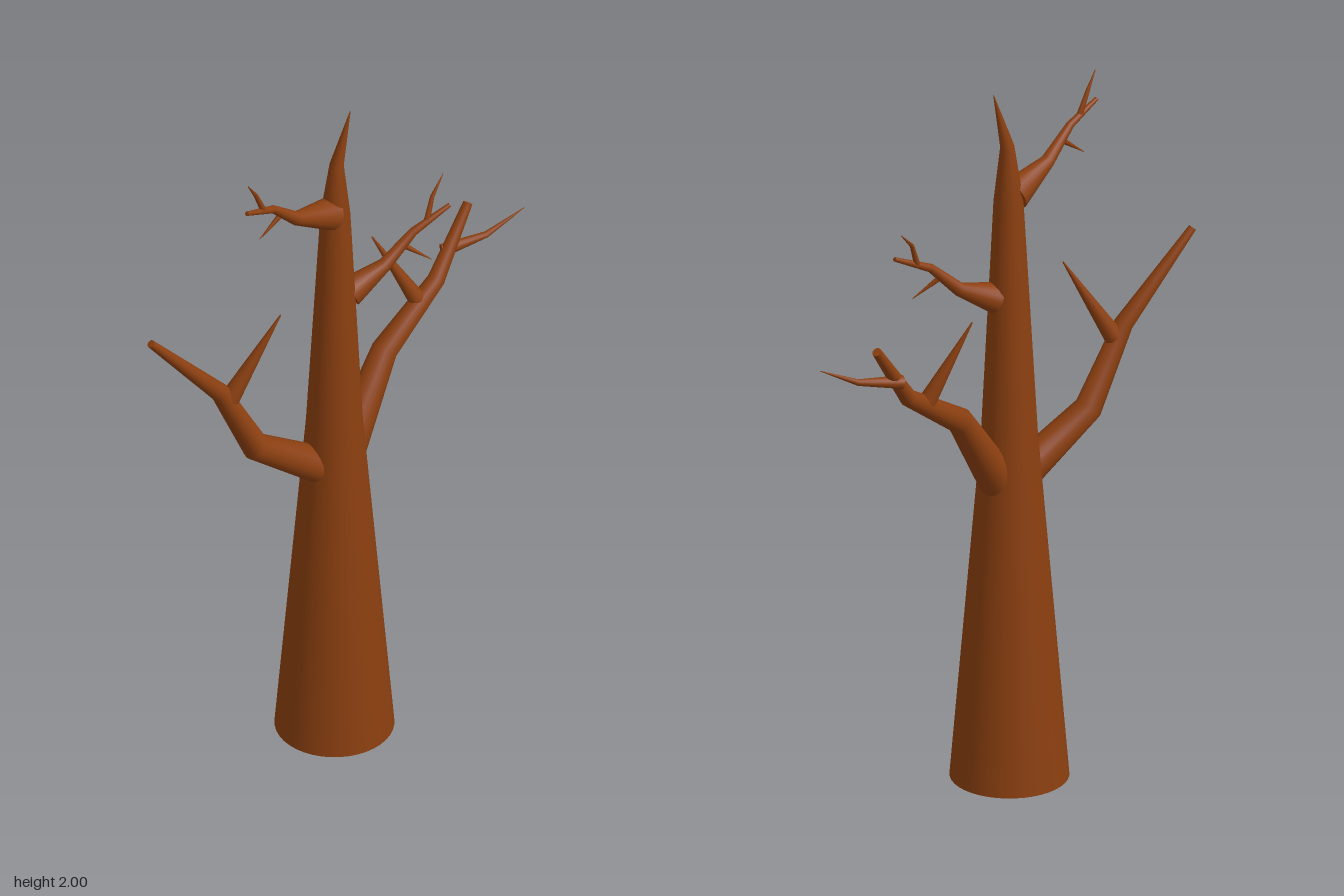
import * as THREE from 'three';

const bark = new THREE.MeshStandardMaterial({ color: 0x8b3f10 });

// Tapered limb lofted through rings of [x, y, z, radius], closed at both ends.
function limb(name, rings, sides = 16) {
  const pts = rings.map(r => new THREE.Vector3(r[0], r[1], r[2]));
  const n = pts.length, pos = [], idx = [];
  const dir = i => pts[i + 1].clone().sub(pts[i]).normalize();
  const normal = new THREE.Vector3(0, 0, 1);
  const addRing = (c, r, N, B) => {
    for (let j = 0; j < sides; j++) {
      const a = (j / sides) * Math.PI * 2;
      const p = c.clone().addScaledVector(N, Math.cos(a) * r).addScaledVector(B, Math.sin(a) * r);
      pos.push(p.x, p.y, p.z);
    }
  };
  const frames = pts.map((p, i) => {
    const t = i === 0 ? dir(0) : i === n - 1 ? dir(n - 2) : dir(i - 1).add(dir(i)).normalize();
    normal.addScaledVector(t, -normal.dot(t)).normalize();
    const N = normal.clone();
    return [N, t.clone().cross(N)];
  });
  pts.forEach((p, i) => addRing(p, rings[i][3], ...frames[i]));
  for (let i = 0; i < n - 1; i++) {
    for (let j = 0; j < sides; j++) {
      const k = (j + 1) % sides;
      const a = i * sides + j, b = i * sides + k;
      idx.push(a, b, b + sides, a, b + sides, a + sides);
    }
  }
  // End caps have their own vertices so the rims stay sharp
  for (const i of [0, n - 1]) {
    const s = pos.length / 3;
    addRing(pts[i], rings[i][3], ...frames[i]);
    pos.push(...pts[i].toArray());
    for (let j = 0; j < sides; j++) {
      const a = s + j, b = s + (j + 1) % sides;
      if (i === 0) idx.push(s + sides, b, a);
      else idx.push(s + sides, a, b);
    }
  }
  const g = new THREE.BufferGeometry();
  g.setAttribute('position', new THREE.Float32BufferAttribute(pos, 3));
  g.setIndex(idx);
  g.computeVertexNormals();
  const mesh = new THREE.Mesh(g, bark);
  mesh.name = name;
  return mesh;
}

function limbGroup(name, ...meshes) {
  const g = new THREE.Group();
  g.name = name;
  g.add(...meshes);
  return g;
}

export function createModel() {
  const tree = new THREE.Group();
  tree.name = 'bareTree';

  // Trunk with a bent, pointed top
  tree.add(limb('trunk', [
    [-0.04, 0, 0, 0.16], [-0.04, 1.0, 0, 0.076], [-0.037, 1.68, 0, 0.04],
    [-0.033, 1.84, 0, 0.019], [0.01, 2.0, 0, 0.001],
  ], 40));

  // Big lower branch on the -x side, with a spike
  tree.add(limbGroup('lowerRightBranch',
    limb('branch', [
      [-0.1, 0.88, 0.005, 0.05], [-0.29, 1.01, 0.002, 0.038],
      [-0.4, 1.23, 0, 0.026], [-0.61, 1.465, -0.012, 0.011],
    ], 20),
    limb('spike', [[-0.37, 1.2, 0.002, 0.027], [-0.23, 1.44, 0.033, 0.002]])));

  // Big lower branch on the +x side, leaning back, with a spike and a twig
  tree.add(limbGroup('lowerLeftBranch',
    limb('branch', [
      [0.0, 0.87, -0.01, 0.054], [0.16, 1.11, -0.068, 0.036],
      [0.35, 1.24, -0.112, 0.024], [0.475, 1.42, -0.152, 0.013],
    ], 20),
    limb('spike', [[0.285, 1.205, -0.1, 0.025], [0.17, 1.43, -0.146, 0.002]]),
    limb('twig', [
      [0.385, 1.305, -0.138, 0.019], [0.51, 1.325, -0.115, 0.009], [0.62, 1.38, -0.1, 0.001],
    ], 12)));

  // Small middle branch on the +x side
  tree.add(limbGroup('middleBranch',
    limb('branch', [
      [0.005, 1.405, 0.002, 0.042], [0.115, 1.455, 0.006, 0.019],
      [0.2, 1.535, 0.013, 0.012], [0.31, 1.585, 0.02, 0.006],
    ]),
    limb('upperTwig', [
      [0.24, 1.55, 0.015, 0.009], [0.265, 1.62, 0.004, 0.006], [0.31, 1.667, -0.013, 0.001],
    ], 10),
    limb('lowerTwig', [[0.165, 1.505, 0.01, 0.009], [0.24, 1.445, 0.04, 0.001]], 10)));

  // Small top branch on the -x side, leaning forward
  tree.add(limbGroup('topBranch',
    limb('branch', [
      [-0.055, 1.69, 0.005, 0.046], [-0.185, 1.745, 0.038, 0.019],
      [-0.27, 1.822, 0.06, 0.011], [-0.37, 1.863, 0.087, 0.006],
    ]),
    limb('upperTwig', [
      [-0.305, 1.835, 0.07, 0.009], [-0.333, 1.9, 0.073, 0.006], [-0.365, 1.95, 0.085, 0.001],
    ], 10),
    limb('lowerTwig', [[-0.235, 1.79, 0.05, 0.009], [-0.31, 1.735, 0.055, 0.001]], 10)));

  return tree;
}
